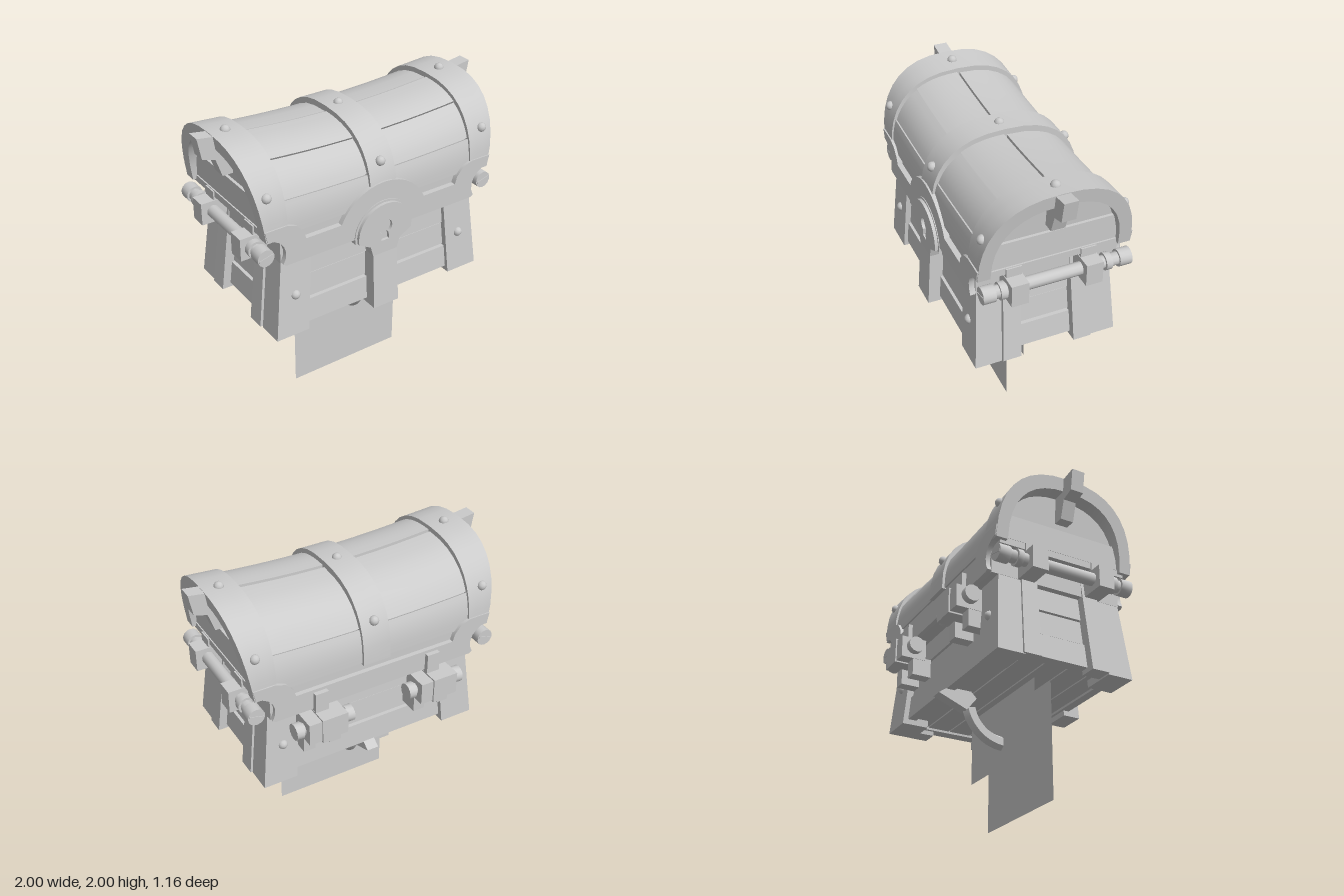
import * as THREE from 'three';
import { toCreasedNormals } from 'three/addons/utils/BufferGeometryUtils.js';

const grey = new THREE.MeshStandardMaterial({ color: 0xcccccc });
const sheetGrey = new THREE.MeshStandardMaterial({ color: 0xcccccc, side: THREE.DoubleSide });
const BASE = 0.73, SPRING = 1.45; // foot level, and level where the lid arch starts

export function createModel() {
  const model = new THREE.Group();
  const add = (name, geo, mat = grey) => {
    const mesh = new THREE.Mesh(toCreasedNormals(geo, 0.7), mat);
    mesh.name = name;
    model.add(mesh);
    return mesh;
  };
  const warp = (geo, rule) => {
    const p = geo.attributes.position, v = new THREE.Vector3();
    for (let i = 0; i < p.count; i++) {
      rule(v.fromBufferAttribute(p, i));
      p.setXYZ(i, v.x, v.y, v.z);
    }
    return geo;
  };
  const box = (x0, x1, y0, y1, z0, z1) =>
    new THREE.BoxGeometry(Math.abs(x1 - x0), y1 - y0, z1 - z0)
      .translate((x0 + x1) / 2, (y0 + y1) / 2, (z0 + z1) / 2);
  const extrude = (shape, depth, steps = 1) =>
    new THREE.ExtrudeGeometry(shape, { depth, steps, bevelEnabled: false, curveSegments: 12 });
  const poly = (pts) => new THREE.Shape(pts.map(([x, y]) => new THREE.Vector2(x, y)));

  // The body narrows towards the top
  const taper = (v) => {
    const k = 1 - 0.15 * (v.y - BASE);
    v.x *= k;
    v.z = 0.05 + (v.z - 0.05) * k;
  };
  const body = (name, ...b) => add(name, warp(box(...b), taper));

  // The lid sags in the middle and flares at the ends
  const sag = (v) => {
    const up = Math.max(0, (v.y - SPRING) / 0.5);
    v.y += 0.07 * up * (v.x / 0.9) ** 2;
    v.x += Math.sign(v.x) * Math.max(0, (Math.abs(v.x) - 0.68) / 0.14) * 0.075 * up;
  };
  const archPoint = (t, w, h) => {
    const c = Math.cos(t), s = Math.max(0, Math.sin(t));
    return [Math.sign(c) * Math.abs(c) ** 0.8 * w, SPRING + s ** 0.8 * h];
  };
  const archPoints = (t0, t1, w, h, n) =>
    Array.from({ length: n + 1 }, (_, i) => archPoint(t0 + (t1 - t0) * i / n, w, h));
  const arch = (name, x0, x1, shape, steps) =>
    add(name, warp(extrude(shape, x1 - x0, steps).rotateY(Math.PI / 2).translate(x0, 0, 0.03), sag));
  const band = (w, h, thick, t0 = 0, t1 = Math.PI, n = 18) =>
    poly([...archPoints(t0, t1, w, h, n), ...archPoints(t0, t1, w - thick, h - thick, n).reverse()]);

  // Body core, planks and floor
  body('bodyCore', -0.71, 0.71, 0.8, 1.28, -0.36, 0.47);
  const rows = [[0.765, 0.925], [0.935, 1.095], [1.105, 1.27]];
  rows.forEach(([y0, y1], i) => {
    const d = [0.015, 0, 0.01][i];
    body('frontPlank', -0.62, 0.62, y0, y1, 0.44, 0.485 + d);
    body('backPlank', -0.62, 0.62, y0, y1, -0.375 - d, -0.33);
    for (const s of [-1, 1]) body('sidePlank', s * 0.66, s * (0.725 + d), y0, y1, -0.34, 0.45);
  });
  for (let i = 0; i < 5; i++)
    body('floorPlank', -0.7, 0.7, 0.78, 0.81, -0.35 + i * 0.166, -0.194 + i * 0.166);

  // Corner posts, side straps and the handle rods they carry
  for (const s of [-1, 1]) {
    for (const [z0, z1] of [[0.35, 0.525], [-0.425, -0.24]]) {
      body('cornerPost', s * 0.55, s * 0.78, BASE, 1.27, z0, z1);
    }
    for (const z of [0.285, -0.195]) {
      body('sideStrap', s * 0.68, s * 0.795, 0.735, 1.47, z - 0.06, z + 0.06);
      add('rodBracket', box(s * 0.66, s * 0.9, 1.26, 1.41, z - 0.055, z + 0.055));
      add('bracketTop', box(s * 0.68, s * 0.81, 1.4, 1.47, z - 0.05, z + 0.05));
    }
    const rod = (r, z0, z1, name, n = 10) =>
      add(name, new THREE.CylinderGeometry(r, r, z1 - z0, n).rotateX(Math.PI / 2)
        .translate(s * 0.82, 1.34, (z0 + z1) / 2));
    rod(0.042, -0.44, 0.48, 'handleRod');
    for (const [z0, z1] of [[0.42, 0.5], [0.35, 0.39], [-0.46, -0.38], [-0.33, -0.29]])
      rod(0.056, z0, z1, 'rodCap', 14);
    for (const z of [0.5, -0.46])
      add('screwSlot', new THREE.BoxGeometry(0.095, 0.014, 0.008).rotateZ(0.25)
        .translate(s * 0.82, 1.34, z));
  }

  // Lid: rim, rounded core and separate planks
  add('lidRim', box(-0.72, 0.72, 1.26, 1.46, -0.435, 0.49));
  for (const s of [-1, 1]) add('rimLedge', box(s * 0.7, s * 0.8, 1.43, 1.475, -0.42, 0.48));
  arch('lidCore', -0.76, 0.76, poly(archPoints(0, Math.PI, 0.45, 0.42, 18)), 10);
  const cuts = [0, 0.46, 1.57, 2.15, 2.75, Math.PI];
  for (let i = 0; i < 5; i++) {
    const lift = [0.004, 0, 0.006, 0, 0.006][i];
    arch('lidPlank', -0.72, 0.72,
      band(0.472 + lift, 0.44 + lift, 0.05, cuts[i] + 0.007, cuts[i + 1] - 0.007, 6), 10);
  }

  // Lid straps
  arch('centreStrap', -0.095, 0.095, band(0.495, 0.48, 0.07), 2);
  for (const s of [-1, 1]) {
    arch('endStrap', s > 0 ? 0.68 : -0.825, s > 0 ? 0.825 : -0.68, band(0.49, 0.47, 0.08), 3);
    add('endBoard', box(s * 0.7, s * 0.795, 1.48, 1.65, -0.39, 0.45));
    // Hooked lug on top of each end
    const lug = poly([[0.78, 1.7], [0.85, 1.7], [0.89, 1.82], [0.975, 1.845], [1, 1.985], [0.8, 1.955]]);
    const mesh = add('endLug', extrude(lug, 0.09).translate(0, 0, -0.01));
    if (s < 0) {
      mesh.rotation.y = Math.PI;
      mesh.position.z = 0.07;
    }
  }

  // Shaped rim plates, front and back
  const rimPlate = (crest) => {
    const half = [];
    if (crest) for (let i = 0; i <= 7; i++) {
      const a = Math.PI / 2 - i * 0.164;
      half.push([0.34 * Math.cos(a), 1.26 + 0.34 * Math.sin(a)]);
    } else half.push([0, 1.4], [0.2, 1.4]);
    half.push([0.56, 1.4], [0.575, 1.45], [0.62, 1.505], [0.69, 1.53], [0.835, 1.53], [0.82, 1.46]);
    for (let i = 0; i <= 6; i++) {
      const a = Math.PI / 2 + i * 0.36;
      half.push([0.82 + 0.12 * Math.cos(a), 1.34 + 0.12 * Math.sin(a)]);
    }
    half.push([0.7, 1.26]);
    return poly([...half, ...half.slice(1).reverse().map(([x, y]) => [-x, y])]);
  };
  add('frontRimPlate', extrude(rimPlate(true), 0.045).translate(0, 0, 0.48));
  add('backRimPlate', extrude(rimPlate(false), 0.04).translate(0, 0, -0.465));

  // Lock with keyhole, and the strap under it
  body('lockStrap', -0.095, 0.095, BASE, 1.16, 0.46, 0.58);
  const lockShape = (r, hole) => {
    const pts = [];
    for (let i = 0; i <= 16; i++) {
      const a = -0.15 + (Math.PI + 0.3) * i / 16;
      pts.push([r * Math.cos(a), 1.26 + r * Math.sin(a)]);
    }
    pts.push([-0.11, 1.18], [-0.09, 1.11], [0.09, 1.11], [0.11, 1.18]);
    const shape = poly(pts);
    if (hole) {
      const key = new THREE.Path();
      key.absarc(0, 1.295, 0.05, -1.1, Math.PI + 1.1, false);
      key.lineTo(-0.03, 1.2);
      key.lineTo(0.03, 1.2);
      key.closePath();
      shape.holes.push(key);
    }
    return shape;
  };
  add('lockBase', extrude(lockShape(0.215, false), 0.04).translate(0, 0, 0.49));
  add('lockFace', extrude(lockShape(0.2, true), 0.025).translate(0, 0, 0.525));

  // Back hinges
  for (const x of [-0.4, 0.4]) {
    const pin = (name, r, len, dx = 0) =>
      add(name, new THREE.CylinderGeometry(r, r, len, 12).rotateZ(Math.PI / 2)
        .translate(x + dx, 1.16, -0.495));
    pin('hingePin', 0.04, 0.38);
    for (const s of [-1, 1]) {
      pin('hingePinCap', 0.055, 0.05, s * 0.175);
      const a = x + s * 0.09;
      add('hingeKnuckle', box(a - 0.043, a + 0.043, 1.085, 1.235, -0.575, -0.4));
      add('hingeLowerStrap', box(a - 0.04, a + 0.04, 0.97, 1.1, -0.49, -0.36));
    }
    add('hingeCentre', box(x - 0.047, x + 0.047, 1.075, 1.245, -0.585, -0.4));
    add('hingeUpperStrap', box(x - 0.045, x + 0.045, 1.22, 1.38, -0.495, -0.4));
  }

  // Rivets on straps and posts
  const rivet = (x, y, z) =>
    add('rivet', new THREE.IcosahedronGeometry(0.032, 1).translate(x, y, z));
  for (const x of [-0.79, 0, 0.79]) {
    rivet(x, x ? 1.965 : 1.925, 0.03);
    rivet(x, 1.72, 0.475);
    rivet(x, 1.72, -0.415);
  }
  for (const s of [-1, 1]) for (const z of [0.5, -0.4]) rivet(s * 0.63, 1.01, z);

  // Curved arrow hanging below the floor
  add('arrowArc', new THREE.TorusGeometry(0.25, 0.05, 6, 28, Math.PI * 1.03)
    .rotateZ(Math.PI * 0.9).scale(1, 1, 0.85).translate(-0.04, 0.73, 0).rotateY(Math.PI / 2));
  add('arrowHead', extrude(poly([[0.17, 0.74], [0.24, 0.65], [0.44, 0.73], [0.28, 0.85]]), 0.08)
    .translate(0, 0, -0.04).rotateY(Math.PI / 2));

  // Thin upright sheets below the floor: right edge, bottom, depth
  for (const [x1, y0, z] of [[0.39, 0, 0.15], [0.405, 0.32, 0.03], [0.425, 0.63, 0.14]]) {
    const w = x1 + 0.43, h = 0.8 - y0;
    add('sheet', new THREE.PlaneGeometry(w, h).translate(x1 - w / 2, y0 + h / 2, z), sheetGrey);
  }
  return model;
}
